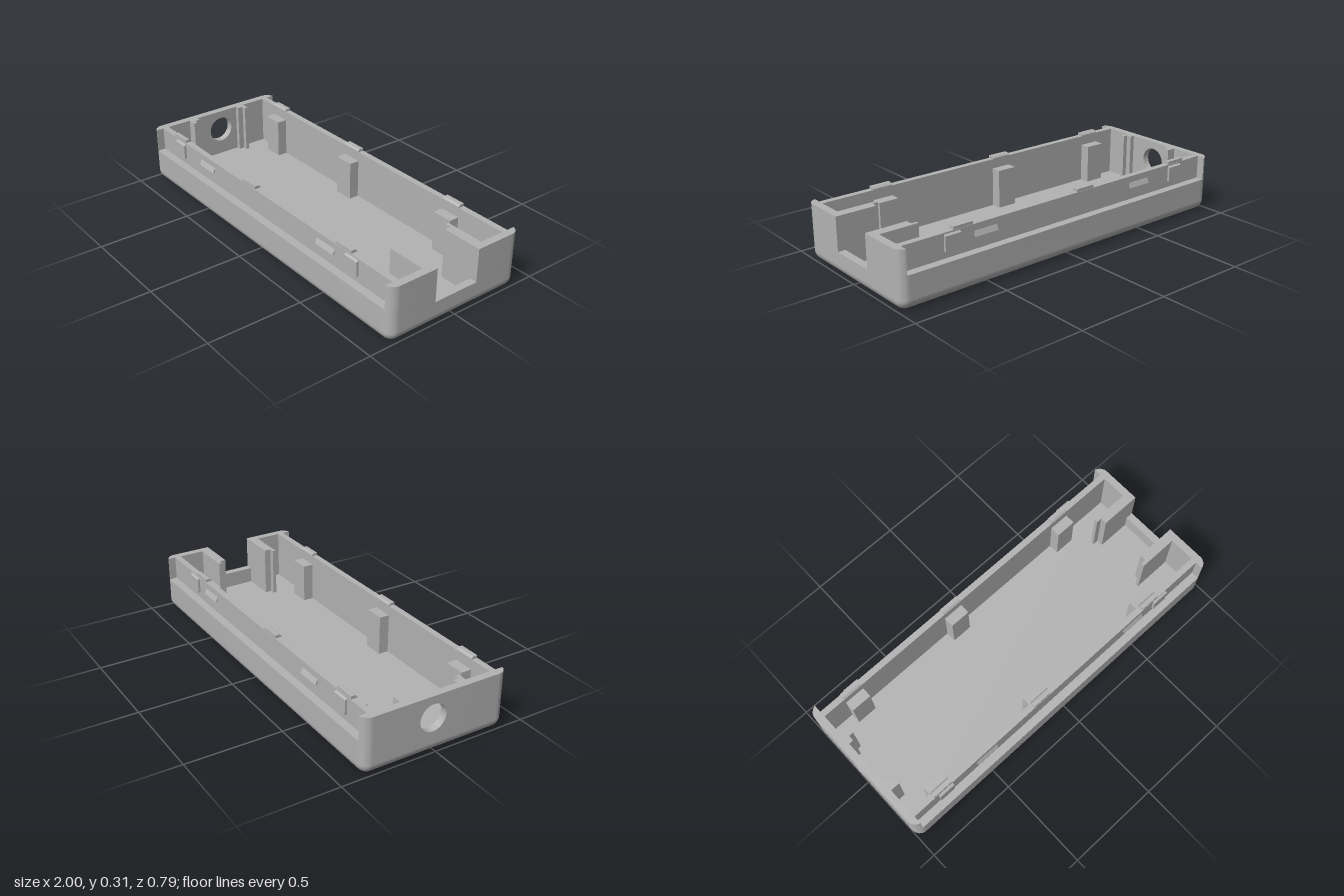
import * as THREE from 'three';
import { toCreasedNormals } from 'three/addons/utils/BufferGeometryUtils.js';

const W = 1, D = 0.393, R = 0.052;      // half width, half depth, edge radius
const TOP = 0.297, STEP = 0.173, SILL = 0.12, FLOOR = 0.035;
const IX = 0.96, IZ = 0.317, GAP = 0.127; // inner half width, inner half depth, half end opening

const plastic = new THREE.MeshStandardMaterial({ color: 0xb3b3b3 });
plastic.name = 'grey plastic';

function add(parent, name, geometry) {
  const mesh = new THREE.Mesh(geometry, plastic);
  mesh.name = name;
  parent.add(mesh);
  return mesh;
}

// Box given by its limits on each axis
function box(parent, name, x0, x1, y0, y1, z0, z1) {
  const g = new THREE.BoxGeometry(x1 - x0, y1 - y0, z1 - z0);
  g.translate((x0 + x1) / 2, (y0 + y1) / 2, (z0 + z1) / 2);
  return add(parent, name, g);
}

// Footprint drawn in (x, z), raised from y0 to y1
function raise(shape, y0, y1) {
  const g = new THREE.ExtrudeGeometry(shape, { depth: y1 - y0, bevelEnabled: false, curveSegments: 12 });
  g.rotateX(Math.PI / 2).translate(0, y1, 0);
  return toCreasedNormals(g, 0.5);
}

// Profile drawn in (z, y), swept along x around a centre
function prism(parent, name, profile, x, width) {
  const shape = new THREE.Shape(profile.map(([z, y]) => new THREE.Vector2(-z, y)));
  const g = new THREE.ExtrudeGeometry(shape, { depth: width, bevelEnabled: false });
  g.rotateY(Math.PI / 2).translate(x - width / 2, 0, 0);
  return add(parent, name, g);
}

// Rounded lower edge: each point is a corner centre plus a radius
function roundedRim() {
  const rows = 10, arc = 10, pos = [], nor = [], idx = [], n = 4 * (arc + 1);
  for (let i = 0; i <= rows; i++) {
    const t = (i / rows) * Math.PI / 2;
    for (let c = 0; c < 4; c++) {
      const cx = (c === 0 || c === 3 ? 1 : -1) * (W - R), cz = (c < 2 ? 1 : -1) * (D - R);
      for (let k = 0; k <= arc; k++) {
        const a = (c + k / arc) * Math.PI / 2;
        const v = [Math.cos(a) * Math.sin(t), -Math.cos(t), Math.sin(a) * Math.sin(t)];
        nor.push(...v);
        pos.push(cx + R * v[0], R + R * v[1], cz + R * v[2]);
      }
    }
  }
  for (let i = 0; i < rows; i++) {
    for (let j = 0; j < n; j++) {
      const a = i * n + j, b = i * n + (j + 1) % n;
      idx.push(a, a + n, b + n, a, b + n, b);
    }
  }
  const g = new THREE.BufferGeometry();
  g.setAttribute('position', new THREE.Float32BufferAttribute(pos, 3));
  g.setAttribute('normal', new THREE.Float32BufferAttribute(nor, 3));
  g.setIndex(idx);
  return g;
}

// Half of the wall footprint: one long side with two rounded corners
function wallShape(recessed) {
  const s = new THREE.Shape();
  const cut = recessed ? Math.acos((IX - W + R) / R) : Math.PI / 2;
  s.moveTo(W, GAP);
  s.lineTo(W, D - R);
  s.absarc(W - R, D - R, R, 0, cut, false);
  if (recessed) {
    s.lineTo(IX, 0.35);
    s.lineTo(-IX, 0.35);
  }
  s.absarc(R - W, D - R, R, Math.PI - cut, Math.PI, false);
  s.lineTo(-W, GAP);
  s.lineTo(-IX, GAP);
  s.lineTo(-IX, IZ);
  s.lineTo(IX, IZ);
  s.lineTo(IX, GAP);
  s.closePath();
  return s;
}

export function createModel() {
  const model = new THREE.Group();
  model.name = 'enclosureTray';

  // Base
  add(model, 'roundedBottomEdge', roundedRim());
  box(model, 'bottom', R - W, W - R, 0, 0.02, R - D, D - R);
  box(model, 'floor', -0.97, 0.97, 0.02, FLOOR, -0.35, 0.35);
  for (const s of [-1, 1]) {
    box(model, 'floorRimSide', -0.98, 0.98, 0.025, R, s > 0 ? IZ : -0.37, s > 0 ? 0.37 : -IZ);
    box(model, 'floorRimEnd', s > 0 ? IX : -0.98, s > 0 ? 0.98 : -IX, 0.025, R, -IZ, IZ);
  }

  // Ends: low sill under the open notch, and a wall with a round hole
  box(model, 'notchSill', IX, W, R, SILL, -GAP, GAP);
  const plate = new THREE.Shape();
  plate.moveTo(-GAP, R);
  plate.lineTo(GAP, R);
  plate.lineTo(GAP, TOP);
  plate.lineTo(-GAP, TOP);
  plate.closePath();
  const hole = new THREE.Path();
  hole.absarc(0.023, 0.185, 0.071, 0, Math.PI * 2, true);
  plate.holes.push(hole);
  const plateGeo = new THREE.ExtrudeGeometry(plate, { depth: W - IX, bevelEnabled: false, curveSegments: 40 });
  plateGeo.rotateY(Math.PI / 2).translate(-W, 0, 0);
  add(model, 'cableHoleWall', toCreasedNormals(plateGeo, 0.5));

  // Long sides; the back one is the front turned around, so x is flipped
  for (const s of [1, -1]) {
    const side = new THREE.Group();
    side.name = s > 0 ? 'frontSide' : 'backSide';
    if (s < 0) side.rotation.y = Math.PI;
    model.add(side);

    add(side, 'lowerWall', raise(wallShape(false), R, STEP));
    add(side, 'recessedWall', raise(wallShape(true), STEP, TOP));

    // Support posts with a chamfered lip above each
    for (const x of [-0.78, -0.125, 0.625]) {
      box(side, 'supportPost', s * x - 0.055, s * x + 0.055, FLOOR, 0.245, 0.262, IZ + 0.005);
      prism(side, 'topLip', [[0.315, 0.295], [0.348, 0.295], [0.348, 0.312], [0.325, 0.312], [0.315, 0.302]], s * x, 0.11);
    }
    // Snap wedges and tabs on the recessed face
    for (const x of [-0.5, 0.5]) {
      prism(side, 'snapWedge', [[0.345, 0.275], [0.345, 0.237], [0.362, 0.237]], s * x, 0.13);
    }
    for (const x of [-0.765, 0.69]) {
      prism(side, 'snapTab', [[0.345, 0.292], [0.345, 0.208], [0.362, 0.208], [0.362, 0.283]], s * x, 0.088);
    }
  }

  // Board guides at both ends
  for (const s of [1, -1]) {
    const rail = (name, x0, x1, a, b) =>
      box(model, name, x0, x1, FLOOR, TOP, Math.min(s * a, s * b), Math.max(s * a, s * b));
    rail('notchGuide', 0.78, IX, GAP, 0.18);
    rail('notchGuideLip', 0.75, 0.78, 0.162, 0.18);
    rail('endRib', -IX, -0.935, 0.13, 0.18);
    rail('endRibLip', -0.935, -0.91, 0.16, 0.18);
  }
  return model;
}
